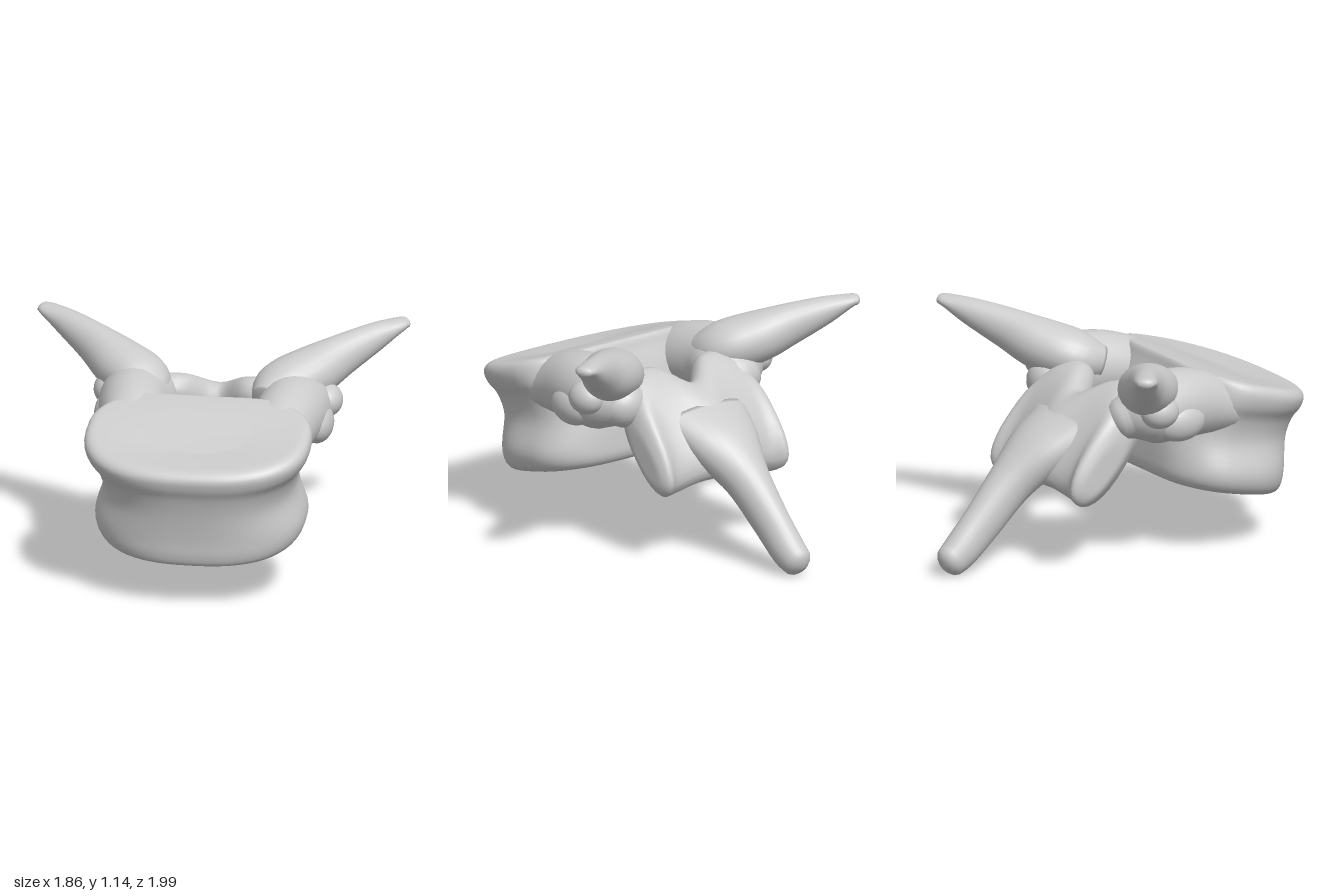
import * as THREE from 'three';

const V = (x, y, z) => new THREE.Vector3(x, y, z);
const spow = (v, e) => Math.sign(v) * Math.abs(v) ** e;

// Catmull-Rom interpolation of every column in a list of key rows
function refine(keys, steps) {
  const rows = [];
  const at = i => keys[Math.max(0, Math.min(keys.length - 1, i))];
  for (let i = 0; i < keys.length - 1; i++) {
    for (let s = 0; s < steps; s++) {
      const t = s / steps;
      rows.push(keys[i].map((_, k) => {
        const a = at(i - 1)[k], b = at(i)[k], c = at(i + 1)[k], d = at(i + 2)[k];
        return 0.5 * (2 * b + (c - a) * t + (2 * a - 5 * b + 4 * c - d) * t * t
          + (3 * b - a - 3 * c + d) * t ** 3);
      }));
    }
  }
  rows.push(keys[keys.length - 1]);
  return rows;
}

// Skin a list of closed rings, with a centre point closing each end
function skin(name, rings, material) {
  const n = rings[0].length, m = rings.length;
  const mid = ring => ring.reduce((s, p) => s.add(p), V(0, 0, 0)).divideScalar(n);
  const pts = [...rings.flat(), mid(rings[0]), mid(rings[m - 1])];
  let index = [];
  for (let j = 0; j < n; j++) {
    const k = (j + 1) % n;
    for (let i = 0; i < m - 1; i++) {
      const a = i * n + j, b = i * n + k;
      index.push(a, b, a + n, b, b + n, a + n);
    }
    index.push(m * n, k, j, m * n + 1, (m - 1) * n + j, (m - 1) * n + k);
  }
  // Turn the faces outward whichever way the rings run
  let volume = 0;
  for (let i = 0; i < index.length; i += 3) {
    volume += pts[index[i]].dot(pts[index[i + 1]].clone().cross(pts[index[i + 2]]));
  }
  if (volume < 0) index = index.reverse();
  const geo = new THREE.BufferGeometry().setFromPoints(pts);
  geo.setIndex(index);
  geo.computeVertexNormals();
  const mesh = new THREE.Mesh(geo, material);
  mesh.name = name;
  return mesh;
}

// Tapered limb: keys are [x, y, z, side radius, other radius]
function limb(name, keys, side, material) {
  const rows = refine(keys, 6);
  const pos = rows.map(r => V(r[0], r[1], r[2]));
  const rings = [];
  const last = rows.length - 1;
  const addRing = (i, scale, push) => {
    const tan = pos[Math.min(i + 1, last)].clone().sub(pos[Math.max(i - 1, 0)]).normalize();
    const up = tan.clone().cross(side).normalize();
    const out = up.clone().cross(tan);
    const [, , , a, b] = rows[i];
    const c = pos[i].clone().addScaledVector(tan, push * Math.min(a, b));
    rings.push(Array.from({ length: 24 }, (_, j) => {
      const t = j / 24 * Math.PI * 2;
      return c.clone().addScaledVector(out, Math.cos(t) * a * scale)
        .addScaledVector(up, Math.sin(t) * b * scale);
    }));
  };
  rows.forEach((_, i) => addRing(i, 1, 0));
  // Rounded tip
  for (let k = 1; k <= 4; k++) {
    const t = k / 4 * 1.4;
    addRing(last, Math.cos(t), Math.sin(t) * 0.8);
  }
  return skin(name, rings, material);
}

export function createModel() {
  const group = new THREE.Group();
  const mat = new THREE.MeshStandardMaterial({ color: 0xcccccc });
  const CX = 0.025;

  // Body: waisted block, rows are [y front, y back, z front, z back, half width]
  const bodyRows = refine([
    [0.265, 0.36, 0.70, 0.38, 0.25],
    [0.235, 0.36, 0.83, 0.25, 0.42],
    [0.235, 0.37, 0.875, 0.20, 0.475],
    [0.285, 0.41, 0.895, 0.175, 0.515],
    [0.37, 0.48, 0.905, 0.175, 0.525],
    [0.50, 0.62, 0.93, 0.19, 0.485],
    [0.60, 0.74, 0.96, 0.23, 0.505],
    [0.66, 0.82, 0.99, 0.26, 0.55],
    [0.715, 0.89, 1.0, 0.29, 0.565],
    [0.755, 0.94, 0.965, 0.31, 0.54],
    [0.77, 0.945, 0.89, 0.34, 0.46],
    [0.79, 0.92, 0.75, 0.45, 0.25],
  ], 4);
  group.add(skin('body', bodyRows.map(([yf, yb, zf, zb, w]) =>
    Array.from({ length: 56 }, (_, j) => {
      const t = j / 56 * Math.PI * 2;
      const c = Math.cos(t), s = Math.sin(t);
      const x = spow(c, 0.8) * w;
      const mid = zb + (zf - zb) * 0.46;
      let z = mid + spow(s, s > 0 ? 0.85 : 0.7) * (s > 0 ? zf - mid : mid - zb);
      // Shallow hollow along the back wall
      if (s < 0) z += 0.025 * s * s * Math.cos(Math.min(1, Math.abs(x) / 0.3) * Math.PI / 2);
      return V(CX + x, yb + (yf - yb) * (z - zb) / (zf - zb), z);
    })), mat));

  // Lamina: plate across the back, rows are [x, top z, top y, bottom z, bottom y, half thickness]
  const half = [
    [0.15, 0.0, 0.89, -0.41, 0.41, 0.12],
    [0.29, 0.01, 0.88, -0.36, 0.36, 0.14],
    [0.37, -0.08, 0.78, -0.41, 0.38, 0.115],
    [0.405, -0.15, 0.68, -0.38, 0.42, 0.07],
    [0.41, -0.22, 0.59, -0.32, 0.48, 0.03],
  ];
  const laminaRows = refine([
    ...half.map(([x, ...rest]) => [-x, ...rest]).reverse(),
    [0, -0.12, 0.81, -0.46, 0.43, 0.11],
    ...half,
  ], 5);
  group.add(skin('lamina', laminaRows.map(([x, tz, ty, bz, by, h]) => {
    const dz = (tz - bz) / 2, dy = (ty - by) / 2, len = Math.hypot(dz, dy);
    return Array.from({ length: 28 }, (_, j) => {
      const t = j / 28 * Math.PI * 2;
      const u = spow(Math.cos(t), 0.85), v = spow(Math.sin(t), 0.85) * h / len;
      return V(x, (ty + by) / 2 + dy * u - dz * v, (tz + bz) / 2 + dz * u + dy * v);
    });
  }), mat));

  // Rear spine: runs back and down to a rounded tip
  group.add(limb('rearSpine', [
    [0, 0.69, -0.24, 0.25, 0.09],
    [0, 0.565, -0.40, 0.20, 0.125],
    [-0.005, 0.42, -0.57, 0.118, 0.115],
    [-0.015, 0.25, -0.735, 0.088, 0.105],
    [-0.02, 0.13, -0.86, 0.083, 0.095],
    [-0.025, 0.085, -0.92, 0.075, 0.085],
  ], V(1, 0, 0), mat));

  for (const s of [1, -1]) {
    const word = s > 0 ? 'left' : 'right';
    const lean = s > 0 ? 0 : 0.06;

    // Pedicle: joins the body to the arch
    group.add(limb(word + 'Pedicle', [
      [CX + s * 0.36, 0.74, 0.50, 0.15, 0.12],
      [CX + s * 0.375, 0.79, 0.32, 0.165, 0.165],
      [CX + s * 0.395, 0.81, 0.14, 0.18, 0.18],
      [CX + s * 0.385, 0.80, 0.0, 0.19, 0.17],
      [CX + s * 0.36, 0.77, -0.10, 0.12, 0.11],
    ], V(1, 0, 0), mat));

    // Side horn: sweeps out, up and back
    group.add(limb(word + 'SideHorn', [
      [s * 0.29, 0.86, 0.16, 0.08, 0.08],
      [s * 0.35, 0.90, 0.04, 0.15, 0.125],
      [s * 0.48, 0.945, -0.08 + lean * 0.3, 0.14, 0.13],
      [s * 0.62, 1.01, -0.19 + lean * 0.5, 0.095, 0.105],
      [s * 0.77, 1.075, -0.305 + lean * 0.8, 0.07, 0.07],
      [s * 0.87, 1.115, -0.375 + lean, 0.058, 0.035],
      [s * 0.9, 1.122, -0.395 + lean, 0.045, 0.026],
    ], V(s * 0.55, 0, 0.8), mat));

    // Rib facets: low swellings on the outer side
    for (const [x, y, z, rx, ry, rz] of [
      [0.54, 0.83, -0.01, 0.085, 0.085, 0.1],
      [0.52, 0.755, 0.12, 0.08, 0.1, 0.14],
    ]) {
      const facet = new THREE.Mesh(new THREE.SphereGeometry(1, 24, 16), mat);
      facet.name = word + 'RibFacet';
      facet.scale.set(rx, ry, rz);
      facet.position.set(CX + s * x, y, z);
      group.add(facet);
    }
  }
  return group;
}
